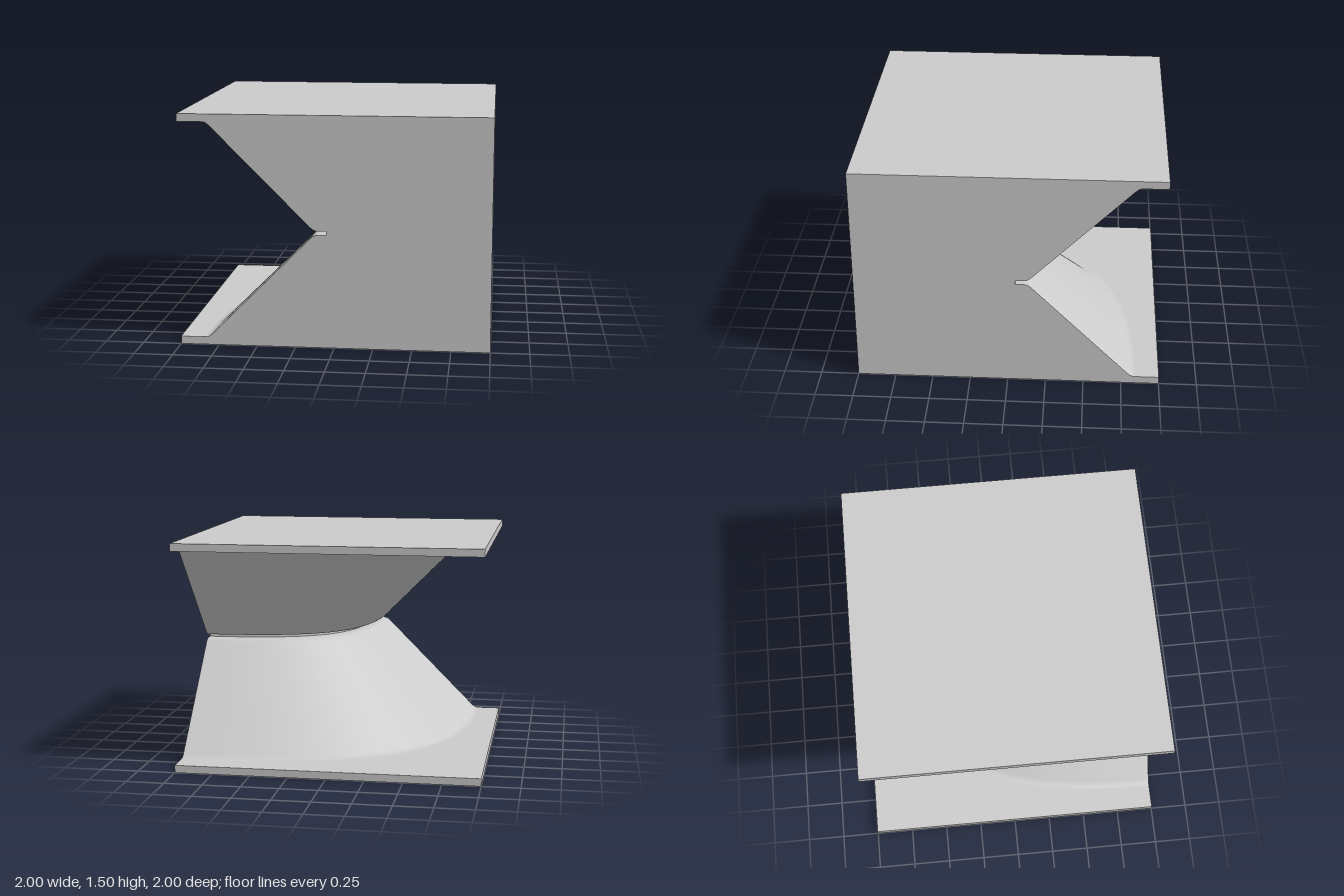
import * as THREE from 'three';
import { toCreasedNormals } from 'three/addons/utils/BufferGeometryUtils.js';

const HEIGHT = 1.505, PLATE = 0.05;

// Lower half of the waist profile: [distance from the solid corner, height]
const LOWER = [
  [1.845, 0.05], [1.825, 0.052], [1.81, 0.058], [1.795, 0.07],
  [1.15, 0.718], [1.135, 0.73], [1.12, 0.737], [1.1, 0.74],
  [1.05, 0.74],
];
const PROFILE = [...LOWER, ...LOWER.map(([d, y]) => [d, HEIGHT - y]).reverse()];

// Rounded quarter path of unit size, swept between the two flat sides
const K = 0.76;
const PATH = new THREE.CubicBezierCurve(
  new THREE.Vector2(1, 0), new THREE.Vector2(1, K),
  new THREE.Vector2(K, 1), new THREE.Vector2(0, 1),
).getPoints(64);

// Surface made by scaling the path about the corner at each profile height
function waistSurface() {
  const positions = [], index = [], n = PATH.length;
  for (const [d, y] of PROFILE)
    for (const p of PATH) positions.push(1 - d * p.x, y, 1 - d * p.y);
  for (let r = 0; r < PROFILE.length - 1; r++)
    for (let c = 0; c < n - 1; c++) {
      const a = r * n + c, b = a + 1, up = a + n;
      index.push(a, up, b, b, up, up + 1);
    }
  const geometry = new THREE.BufferGeometry();
  geometry.setAttribute('position', new THREE.Float32BufferAttribute(positions, 3));
  geometry.setIndex(index);
  return toCreasedNormals(geometry, 0.5);
}

// Flat side of the waist, in local x = distance from the solid corner
function sideFace() {
  const points = [[0, PLATE], ...PROFILE, [0, HEIGHT - PLATE]];
  return new THREE.ShapeGeometry(new THREE.Shape(points.map(([d, y]) => new THREE.Vector2(d, y))));
}

export function createModel() {
  const group = new THREE.Group();
  const material = new THREE.MeshStandardMaterial({ color: 0xcccccc });
  const flatMaterial = new THREE.MeshStandardMaterial({ color: 0xcccccc, side: THREE.DoubleSide });
  const add = (name, geometry, mat = material) => {
    const mesh = new THREE.Mesh(geometry, mat);
    mesh.name = name;
    group.add(mesh);
    return mesh;
  };

  // Square plates
  const plate = new THREE.BoxGeometry(2, PLATE, 2);
  add('bottomPlate', plate).position.y = PLATE / 2;
  add('topPlate', plate).position.y = HEIGHT - PLATE / 2;

  // Tapered waist with its groove
  add('waist', waistSurface());

  // Right side: facing +x, running toward -z
  const right = add('rightFace', sideFace());
  right.rotation.y = Math.PI / 2;
  right.position.set(1, 0, 1);

  // Front side: facing +z, running toward -x
  const front = sideFace();
  front.rotateY(Math.PI);
  // Reversed normals so the visible side shades toward +z
  const normal = front.attributes.normal;
  for (let i = 0; i < normal.count; i++) normal.setXYZ(i, 0, 0, 1);
  const idx = front.index;
  for (let i = 0; i < idx.count; i += 3) {
    const a = idx.getX(i);
    idx.setX(i, idx.getX(i + 1));
    idx.setX(i + 1, a);
  }
  add('frontFace', front, flatMaterial).position.set(1, 0, 1);

  return group;
}
